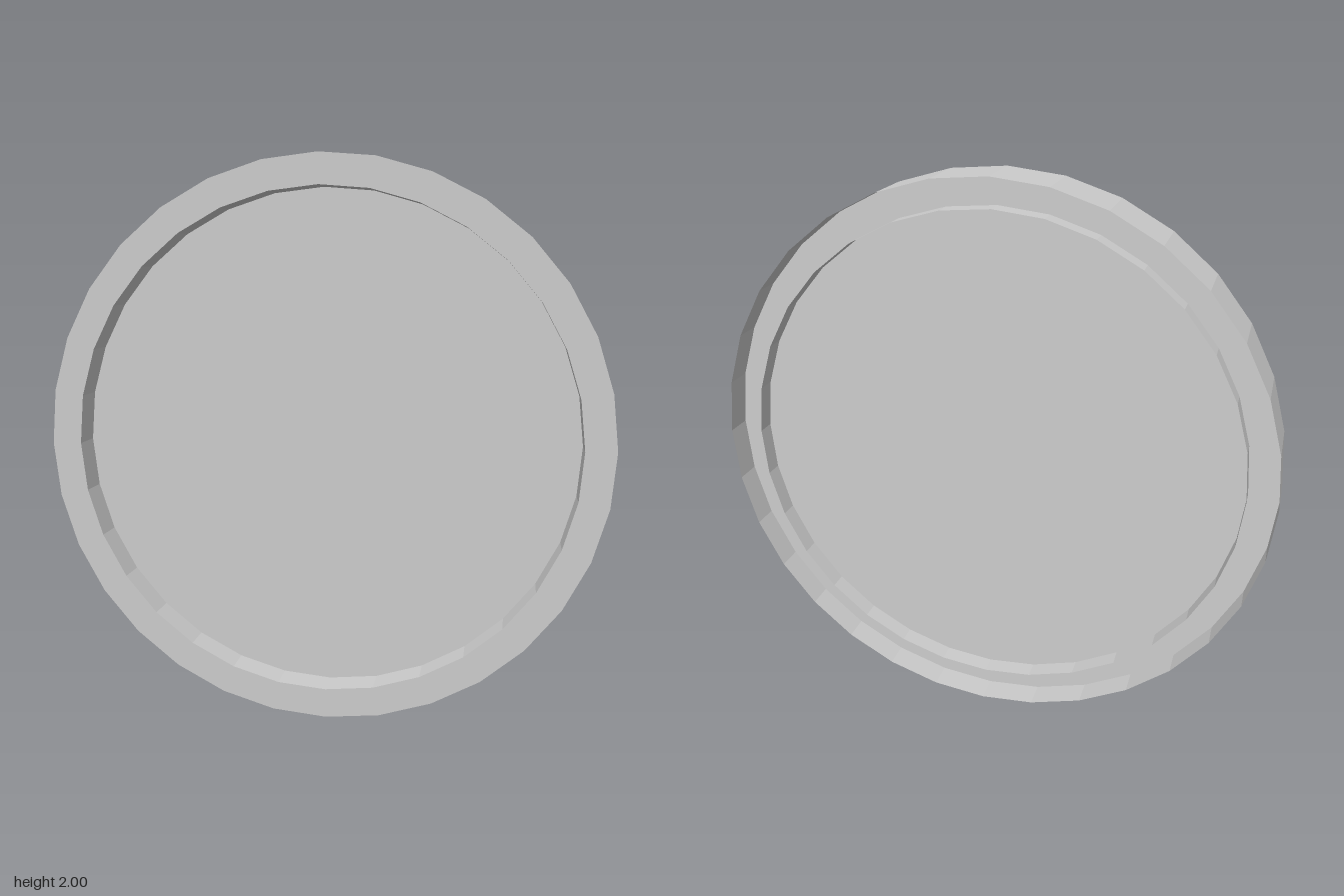
import * as THREE from 'three';

const SIDES = 32;
const OUTER = 0.998;
const INNER = 0.892;
const FRONT = 0.104;
const BACK = -0.104;
const PANEL = -0.005; // plane of the middle disc
const LIP = -0.073;   // back edge of the inner wall

export function createModel() {
  const material = new THREE.MeshStandardMaterial({
    color: 0xcccccc, flatShading: true, side: THREE.DoubleSide,
  });
  const model = new THREE.Group();
  model.name = 'rimmedDisc';

  const add = (name, geometry, z) => {
    const mesh = new THREE.Mesh(geometry, material);
    mesh.name = name;
    mesh.position.z = z;
    model.add(mesh);
  };

  // Open wall of sheet material between two depths, axis along z
  const wall = (name, radius, z0, z1) => {
    const geometry = new THREE.CylinderGeometry(radius, radius, z1 - z0, SIDES, 1, true);
    add(name, geometry.rotateX(Math.PI / 2), (z0 + z1) / 2);
  };

  wall('outerWall', OUTER, BACK, FRONT);
  wall('innerWall', INNER, LIP, FRONT);

  // Flat rim closing the front between the two walls
  add('frontRim', new THREE.RingGeometry(INNER, OUTER, SIDES), FRONT);

  // Middle disc, also the floor of the groove at the back
  add('panel', new THREE.CircleGeometry(OUTER, SIDES), PANEL);

  // Slight lean and turn of the whole disc
  model.rotation.set(0.006, 0.0175, 0.012);
  model.position.y = 1;
  const root = new THREE.Group();
  root.name = 'disc';
  root.add(model);
  return root;
}
